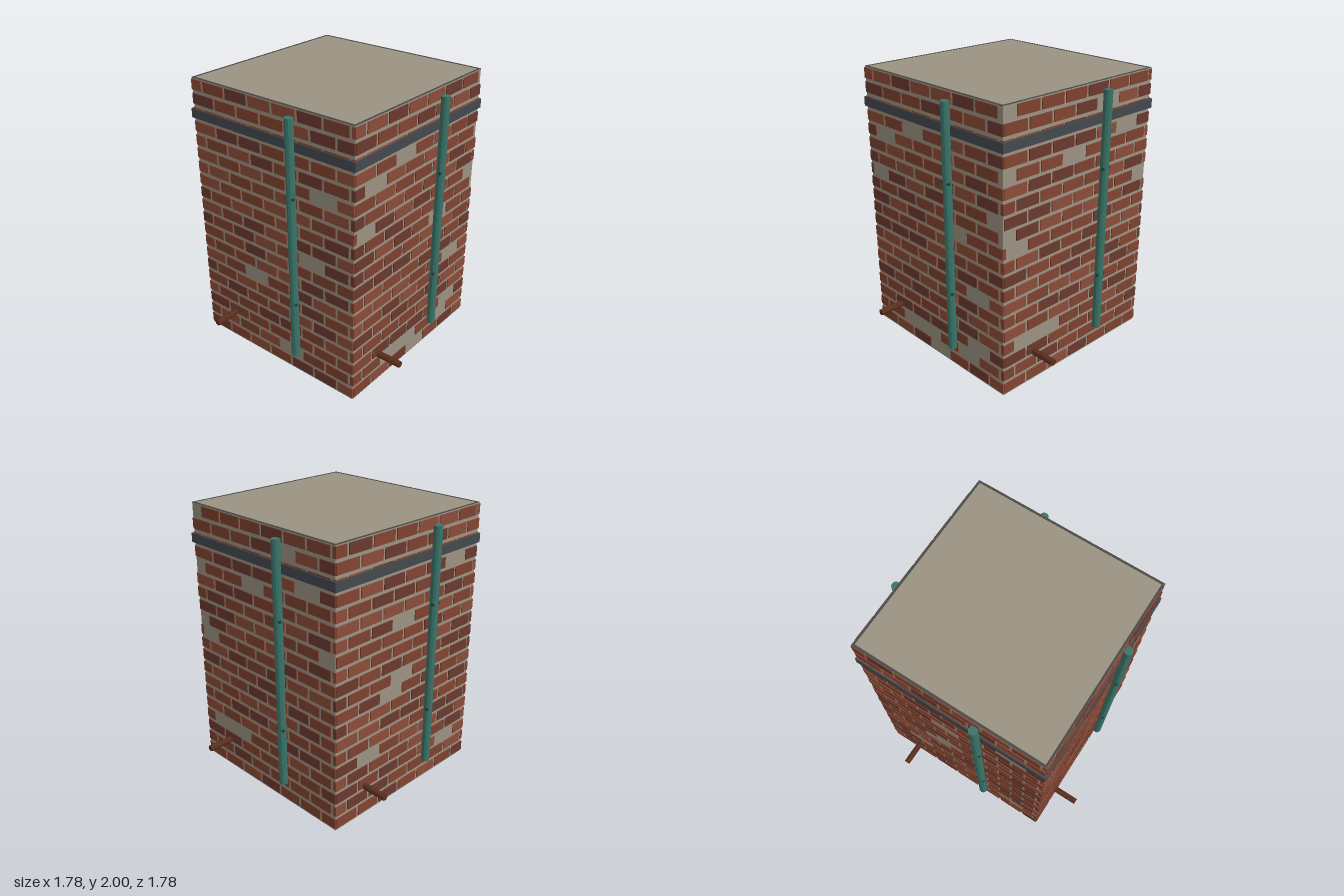
import * as THREE from 'three';
import { mergeGeometries } from 'three/addons/utils/BufferGeometryUtils.js';

const mat = (color, flatShading = false) => new THREE.MeshStandardMaterial({ color, flatShading });
const mortarMat = mat(0x9a9282);
const steelMat = mat(0x43494f);
const rimMat = mat(0x4a4a48);
const pipeMat = mat(0x3a7468, true);
const boltMat = mat(0x23413c, true);
const rustMat = mat(0x5a2e1c, true);
const brickMats = [0x7c412f, 0x8b4c39, 0x6b382e, 0x824431].map((c) => mat(c));

const HALF = 0.695;      // half width of the mortar core
const FACE = 0.702;      // outer face of the bricks
const PITCH = 0.21, BRICK = 0.19, ROW = 0.1, ROWS = 20;

// missing bricks on each side, as row: [positions from the left]
const GAPS = [
  { 0: [3], 1: [2, 3, 5], 2: [5], 6: [5], 10: [4], 12: [0, 6], 15: [1], 16: [2] },
  { 3: [1, 2], 10: [0], 11: [0], 12: [6], 15: [0, 3], 16: [5], 18: [4], 19: [0] },
  { 2: [5], 4: [1], 8: [2], 9: [3], 13: [3], 16: [5] },
  { 1: [4], 6: [2], 9: [5], 14: [5] },
];

function seeded(seed) {
  let s = seed;
  return () => (s = (s * 16807) % 2147483647) / 2147483647;
}

function add(parent, name, geometry, material, x = 0, y = 0, z = 0) {
  const mesh = new THREE.Mesh(geometry, material);
  mesh.name = name;
  mesh.position.set(x, y, z);
  parent.add(mesh);
  return mesh;
}

// running-bond courses of one wall, merged by brick colour
function addBricks(parent, gaps, rand) {
  const sets = brickMats.map(() => []);
  for (let r = 0; r < ROWS; r++) {
    const start = r % 2 ? -0.585 - PITCH : -0.69;
    for (let i = 0; i < 7; i++) {
      const set = sets[Math.floor(rand() * sets.length)];
      if (gaps[r]?.includes(i)) continue;
      const x0 = Math.max(start + i * PITCH, -0.697);
      const x1 = Math.min(start + i * PITCH + BRICK, 0.697);
      const depth = 0.03;
      const g = new THREE.BoxGeometry(x1 - x0, 0.074, depth);
      g.translate((x0 + x1) / 2, 0.052 + r * ROW, FACE - depth / 2);
      set.push(g);
    }
  }
  sets.forEach((set, i) => {
    if (set.length) add(parent, 'bricks', mergeGeometries(set), brickMats[i]);
  });
}

export function createModel() {
  const model = new THREE.Group();
  model.name = 'brickBlock';
  const rand = seeded(71);

  add(model, 'mortarCore', new THREE.BoxGeometry(HALF * 2, 1.998, HALF * 2), mortarMat, 0, 0.999);

  for (let side = 0; side < 4; side++) {
    const wall = new THREE.Group();
    wall.name = 'wall';
    wall.rotation.y = side * Math.PI / 2;
    model.add(wall);
    addBricks(wall, GAPS[side], rand);

    // steel band and thin dark edge around the roof
    add(wall, 'steelBand', new THREE.BoxGeometry(1.42, 0.066, 0.03), steelMat, 0, 1.748, 0.695);
    add(wall, 'roofEdge', new THREE.BoxGeometry(HALF * 2, 0.003, 0.015), rimMat, 0, 1.9985, HALF - 0.0075);

    // downpipe with its fixing bolts
    add(wall, 'downpipe', new THREE.CylinderGeometry(0.031, 0.031, 1.78, 10), pipeMat, 0.208, 1.05, 0.725);
    for (const y of [0.6, 1.4]) {
      const bolt = add(wall, 'pipeBolt', new THREE.CylinderGeometry(0.011, 0.011, 0.07, 8), boltMat, 0.208, y, 0.737);
      bolt.rotation.z = Math.PI / 2;
    }

    // rusty drain stub
    const stub = add(wall, 'drainStub', new THREE.CylinderGeometry(0.023, 0.023, 0.22, 8), rustMat, -0.422, 0.228, 0.78);
    stub.rotation.x = Math.PI / 2;
  }
  return model;
}
